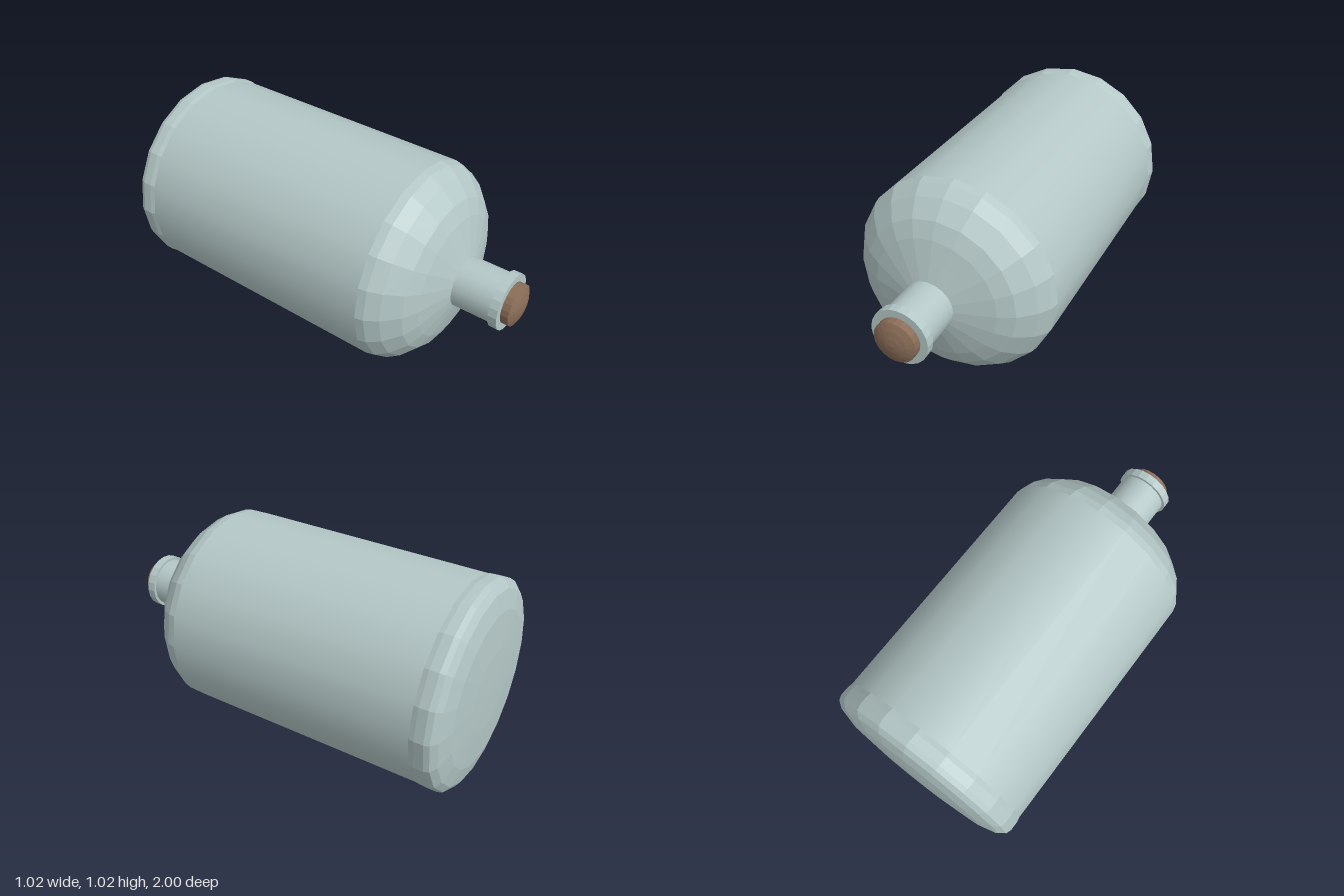
import * as THREE from 'three';

const SIDES = 20;
const AXIS_HEIGHT = 0.513;

const glass = { color: 0xb4c8c7 };
const cork = { color: 0x8a6d58 };

// Turned part along z: profile is a list of [radius, z], from back to front.
function turned(name, profile, look, flat) {
  const points = profile.map(([r, z]) => new THREE.Vector2(r, z));
  const geometry = new THREE.LatheGeometry(points, SIDES);
  geometry.rotateX(Math.PI / 2);
  const material = new THREE.MeshStandardMaterial({ ...look, flatShading: flat });
  const mesh = new THREE.Mesh(geometry, material);
  mesh.name = name;
  return mesh;
}

export function createModel() {
  const bottle = new THREE.Group();
  bottle.name = 'bottle';

  bottle.add(
    // Slightly bulging base with a rounded rim
    turned('base', [
      [0, -1], [0.2, -0.997], [0.38, -0.985], [0.47, -0.963], [0.503, -0.94],
      [0.512, -0.915], [0.512, -0.87], [0.507, -0.845],
    ], glass, true),

    // Long straight wall, smooth
    turned('body', [[0.507, -0.845], [0.507, 0.43]], glass, false),

    // Faceted shoulder narrowing to the neck
    turned('shoulder', [
      [0.507, 0.43], [0.498, 0.47], [0.46, 0.53], [0.385, 0.6],
      [0.31, 0.636], [0.215, 0.665], [0.125, 0.693],
    ], glass, true),

    // Neck and lip ring
    turned('neck', [[0.125, 0.69], [0.125, 0.893]], glass, false),
    turned('lip', [[0.125, 0.891], [0.14, 0.891], [0.14, 0.934], [0, 0.934]], glass, true),

    // Stopper with a domed end
    turned('stopper', [
      [0.103, 0.93], [0.103, 0.972], [0.07, 0.987], [0.036, 0.996], [0, 1],
    ], cork, true),
  );

  bottle.position.y = AXIS_HEIGHT;
  const model = new THREE.Group();
  model.add(bottle);
  return model;
}
